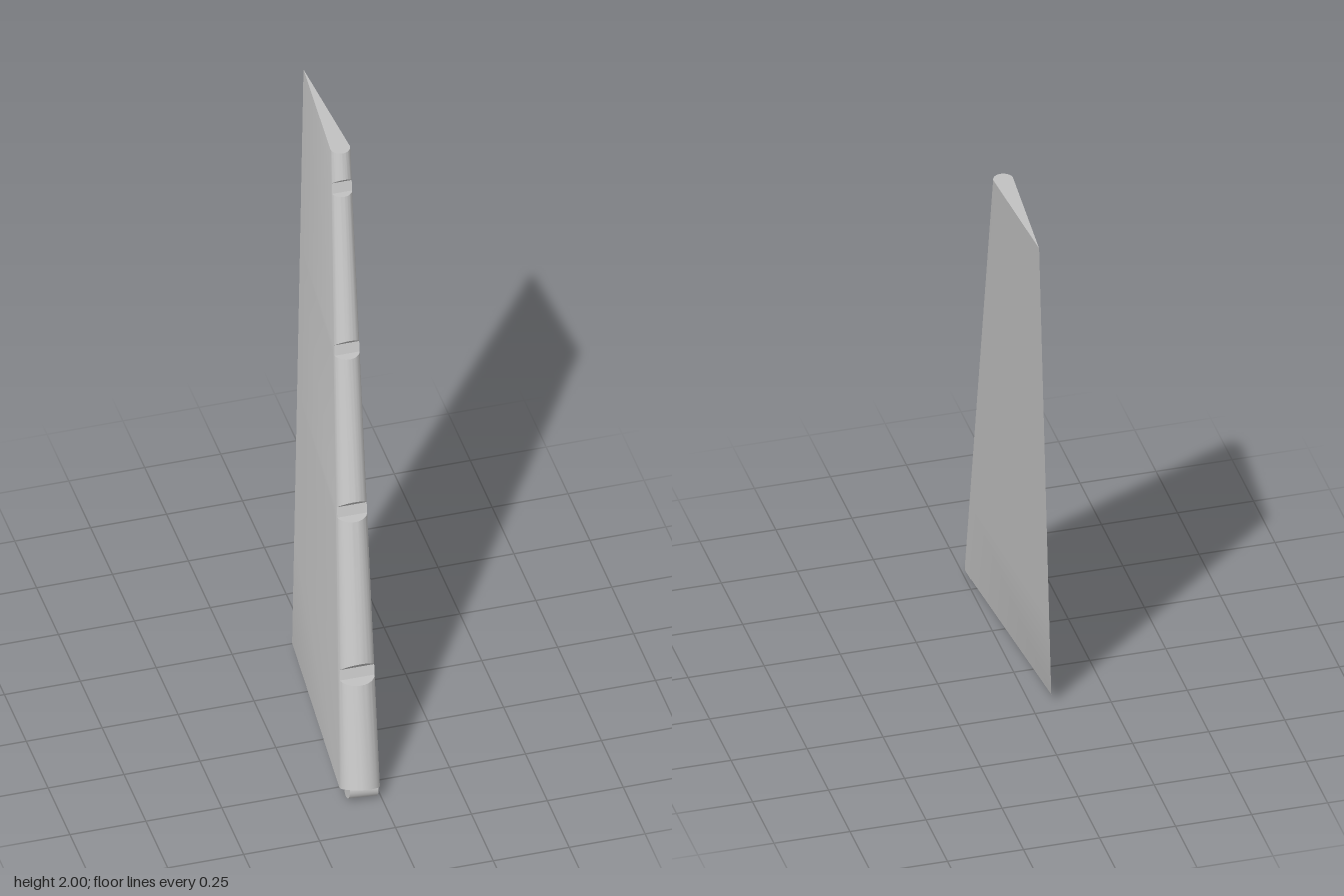
import * as THREE from 'three';
import { toCreasedNormals } from 'three/addons/utils/BufferGeometryUtils.js';

const SEG = 24;      // nose arc segments
const CUT = 0.259;   // notch floor, as a share of the nose radius
const BOTTOM = 0.036, TOP = 2;

// One point of the aerofoil skin at height y; a is the nose angle (null = trailing edge)
function skinPoint(a, y, cut) {
  const s = (y - 0.04) / 1.96;
  const x = THREE.MathUtils.lerp(-0.064, 0.09, s);
  if (a === null) return new THREE.Vector3(x, y, THREE.MathUtils.lerp(-0.21, -0.615, s));
  const r = THREE.MathUtils.lerp(0.065, 0.032, s);
  const centreZ = 0.615 - 0.402 * (y - 0.06) - r;
  const forward = Math.cos(a);
  return new THREE.Vector3(x + r * Math.sin(a), y, centreZ + r * (cut ? Math.min(forward, CUT) : forward));
}

// A closed section; lift(a) raises nose points along the skin
function ring(y, cut = false, lift = () => 0) {
  const points = [skinPoint(null, y, cut)];
  for (let i = 0; i <= SEG; i++) {
    const a = Math.PI / 2 - (Math.PI * i) / SEG;
    points.push(skinPoint(a, y + lift(a), cut));
  }
  return points;
}

function finGeometry() {
  // Root is square to the swept leading edge
  const rings = [ring(BOTTOM, false, (a) => 0.026 * Math.cos(a) - 0.006 * Math.sin(a))];
  // Each notch: flat lower wall, flat floor, sloping upper wall
  for (const y of [0.38, 0.878, 1.373, 1.868]) {
    const r = THREE.MathUtils.lerp(0.065, 0.032, y / 2);
    rings.push(
      ring(y),
      ring(y, true),
      ring(y + 0.032, true),
      ring(y + 0.032, false, (a) => 0.75 * r * Math.max(0, Math.cos(a) - CUT)),
    );
  }
  rings.push(ring(TOP));

  const positions = [];
  const tri = new THREE.Triangle();
  const add = (a, b, c) => {
    tri.set(a, b, c);
    if (tri.getArea() > 1e-8) for (const p of [a, b, c]) positions.push(p.x, p.y, p.z);
  };
  const n = rings[0].length;
  for (let i = 0; i < rings.length - 1; i++) {
    const lo = rings[i], hi = rings[i + 1];
    for (let j = 0; j < n; j++) {
      const k = (j + 1) % n;
      add(lo[j], hi[j], hi[k]);
      add(lo[j], hi[k], lo[k]);
    }
  }
  // Root and tip caps
  const first = rings[0], last = rings[rings.length - 1];
  for (let j = 1; j < n - 1; j++) {
    add(first[0], first[j], first[j + 1]);
    add(last[0], last[j + 1], last[j]);
  }
  const geometry = new THREE.BufferGeometry();
  geometry.setAttribute('position', new THREE.Float32BufferAttribute(positions, 3));
  return toCreasedNormals(geometry, 0.4);
}

export function createModel() {
  const model = new THREE.Group();
  model.name = 'rudderFin';
  const grey = new THREE.MeshStandardMaterial({ color: 0xc0c0c0 });
  grey.name = 'lightGrey';

  // Tapered, swept and leaning blade with notched leading edge
  const blade = new THREE.Mesh(finGeometry(), grey);
  blade.name = 'blade';
  model.add(blade);

  // Cross pin under the nose
  const pin = new THREE.Mesh(new THREE.CylinderGeometry(0.033, 0.033, 0.095, 24), grey);
  pin.name = 'hingePin';
  pin.position.set(-0.059, 0.037, 0.563);
  pin.rotation.z = Math.PI / 2 - 0.08;
  model.add(pin);

  return model;
}
